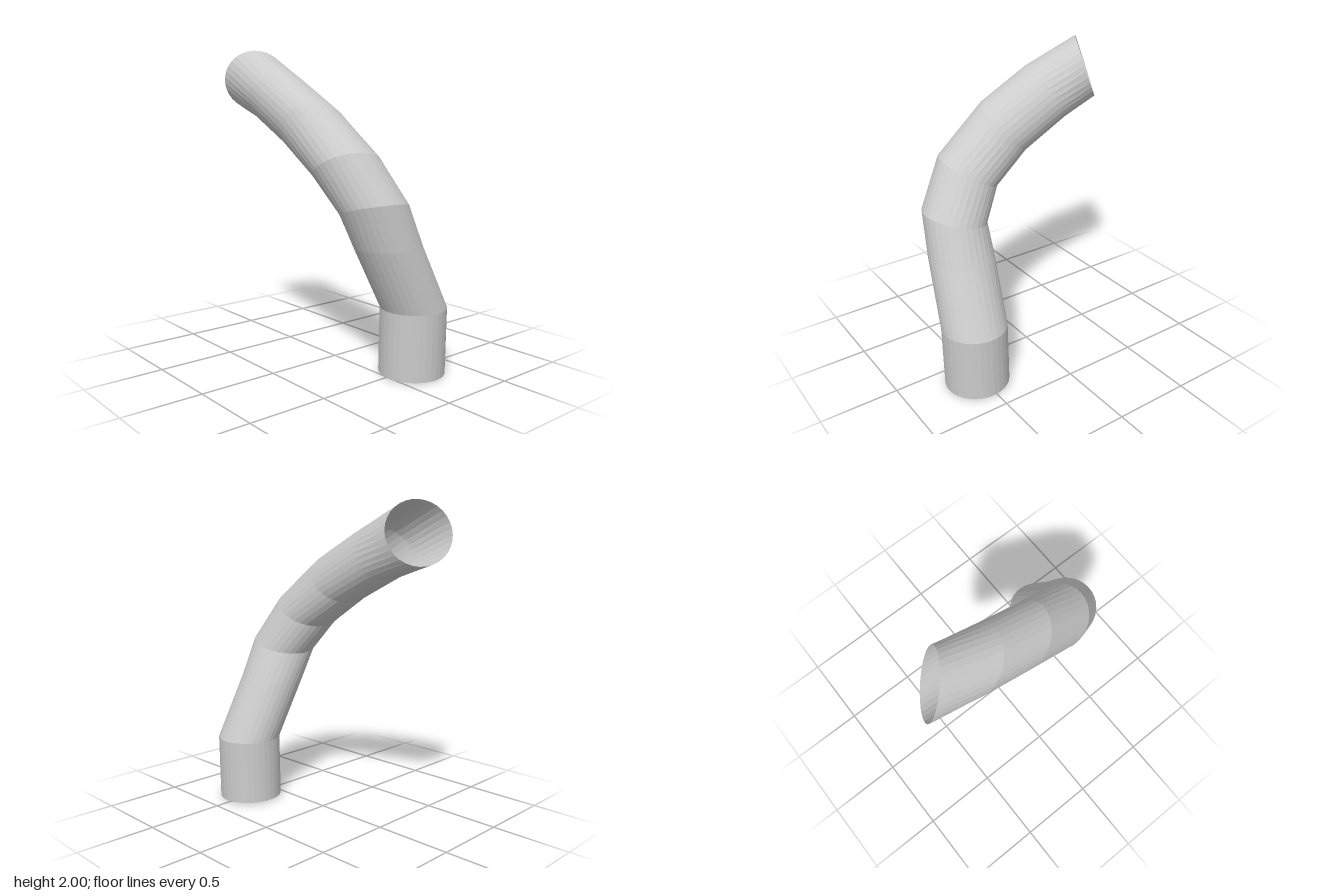
import * as THREE from 'three';

const RADIUS = 0.207;
const SIDES = 32;

// Rings along the bent pipe: centre, then the direction each ring faces
const RINGS = [
  [[0.19, 0.005, 0.52], [0, 1, 0.024]],
  [[0.19, 0.42, 0.528], [0, 1, 0]],
  [[0.005, 0.81, 0.493], [0, 1, -0.05]],
  [[-0.096, 1.045, 0.473], [0.04, 0.97, -0.25]],
  [[-0.177, 1.285, 0.32], [0.13, 0.87, -0.47]],
  [[-0.207, 1.51, 0.03], [0.36, 0.69, -0.63]],
  [[-0.207, 1.68, -0.295], [0.4, 0.64, -0.655]],
  [[-0.188, 1.805, -0.604], [0.55, 0.335, -0.77]],
];

// Skin a row of equal circles, turning each one from the last without twist
function pipeGeometry() {
  const positions = [], index = [];
  const facing = new THREE.Vector3(0, 1, 0);
  const turn = new THREE.Quaternion();
  RINGS.forEach(([centre, direction], i) => {
    const next = new THREE.Vector3(...direction).normalize();
    turn.premultiply(new THREE.Quaternion().setFromUnitVectors(facing, next));
    facing.copy(next);
    for (let j = 0; j < SIDES; j++) {
      const t = (j / SIDES) * Math.PI * 2;
      const p = new THREE.Vector3(Math.cos(t) * RADIUS, 0, Math.sin(t) * RADIUS)
        .applyQuaternion(turn).add(new THREE.Vector3(...centre));
      positions.push(p.x, p.y, p.z);
      if (i === 0) continue;
      const k = (j + 1) % SIDES;
      const low = (i - 1) * SIDES, high = i * SIDES;
      index.push(low + j, high + j, low + k, low + k, high + j, high + k);
    }
  });
  const geometry = new THREE.BufferGeometry();
  geometry.setAttribute('position', new THREE.Float32BufferAttribute(positions, 3));
  geometry.setIndex(index);
  geometry.computeVertexNormals();
  return geometry;
}

export function createModel() {
  const group = new THREE.Group();
  group.name = 'bentPipe';
  // Thin wall, open at both ends
  const material = new THREE.MeshStandardMaterial({
    color: 0xcccccc, flatShading: true, side: THREE.DoubleSide,
  });
  const pipe = new THREE.Mesh(pipeGeometry(), material);
  pipe.name = 'pipeWall';
  group.add(pipe);
  return group;
}
